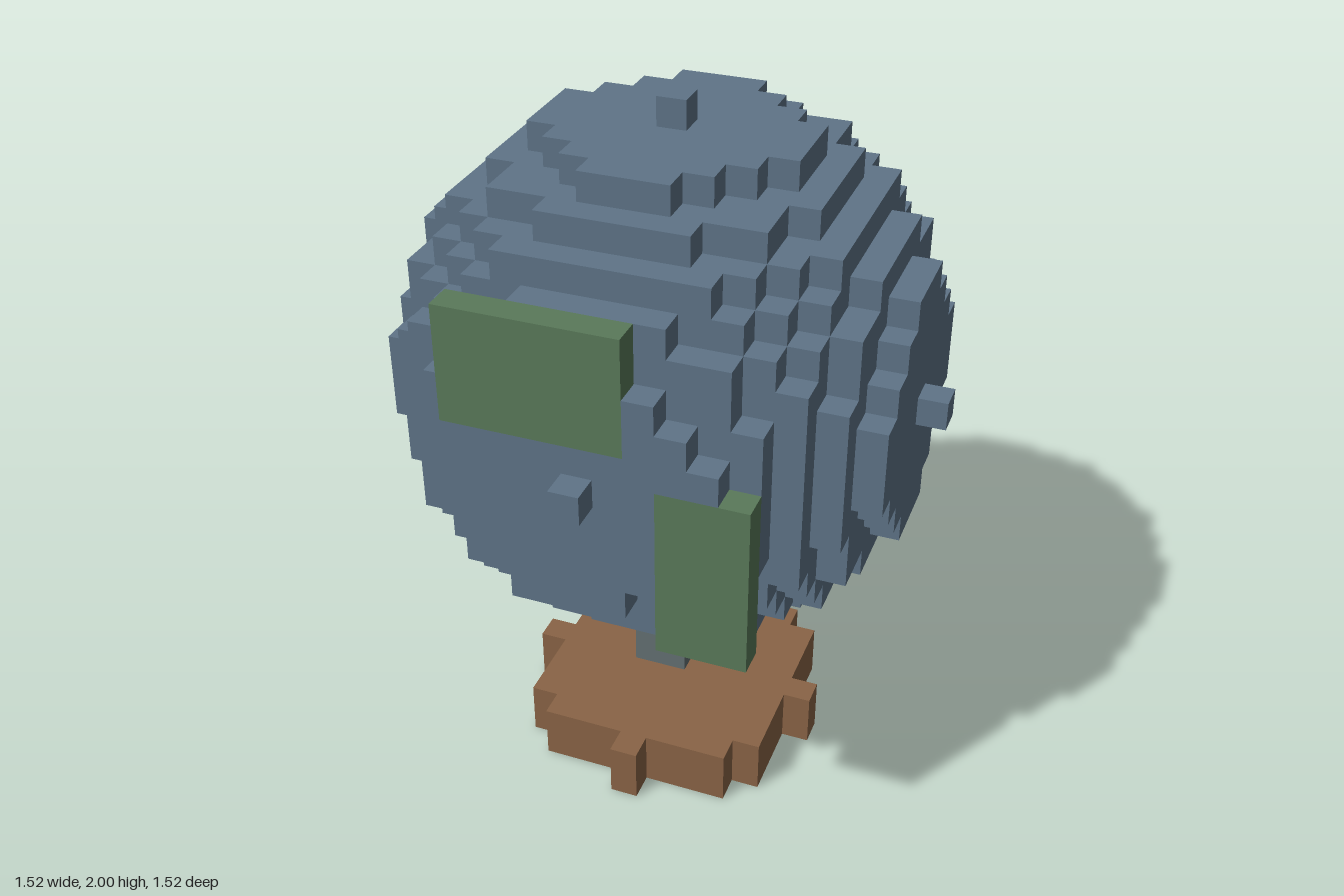
import * as THREE from 'three';
import { mergeGeometries } from 'three/addons/utils/BufferGeometryUtils.js';

const S = 0.08; // edge of one cube
const COLORS = { base: 0x8a6446, post: 0x647072, globe: 0x5f7488, landPatch: 0x5a7a5a };

// One outward quad template for each of the six cube sides
const SIDES = [[1, 0, 0], [-1, 0, 0], [0, 1, 0], [0, -1, 0], [0, 0, 1], [0, 0, -1]].map((dir) => {
  const quad = new THREE.PlaneGeometry(S, S);
  quad.translate(0, 0, S / 2);
  if (dir[0]) quad.rotateY(dir[0] * Math.PI / 2);
  if (dir[1]) quad.rotateX(-dir[1] * Math.PI / 2);
  if (dir[2] < 0) quad.rotateY(Math.PI);
  return { dir, quad };
});

export function createModel() {
  const cells = new Map();
  const key = (x, y, z) => `${x},${y},${z}`;

  // Fill a range of cubes that pass a test; later parts replace earlier ones
  function fill(part, [x0, x1], [y0, y1], [z0, z1], test = () => true) {
    for (let x = x0; x <= x1; x++)
      for (let y = y0; y <= y1; y++)
        for (let z = z0; z <= z1; z++)
          if (test(x, y, z)) cells.set(key(x, y, z), { part, x, y, z });
  }

  // Round base, two cubes thick
  fill('base', [-5, 5], [0, 1], [-5, 5], (x, y, z) => x * x + z * z <= 25);
  // Square post
  fill('post', [-1, 0], [2, 6], [-1, 0]);
  // Stepped globe of radius 9 centred on layer 15
  fill('globe', [-9, 9], [6, 24], [-9, 9], (x, y, z) => x * x + (y - 15) ** 2 + z * z <= 81);
  // Two land patches on the front
  fill('landPatch', [-4, 1], [17, 20], [8, 8]);
  fill('landPatch', [3, 5], [10, 15], [8, 8]);

  // Keep only exposed cube sides, gathered by part
  const faces = { base: [], post: [], globe: [], landPatch: [] };
  for (const { part, x, y, z } of cells.values())
    for (const { dir, quad } of SIDES)
      if (!cells.has(key(x + dir[0], y + dir[1], z + dir[2])))
        faces[part].push(quad.clone().translate(x * S, (y + 0.5) * S, z * S));

  const model = new THREE.Group();
  model.name = 'globeOnStand';
  for (const part in faces) {
    const material = new THREE.MeshStandardMaterial({ color: COLORS[part] });
    const mesh = new THREE.Mesh(mergeGeometries(faces[part]), material);
    mesh.name = part;
    model.add(mesh);
  }
  return model;
}
